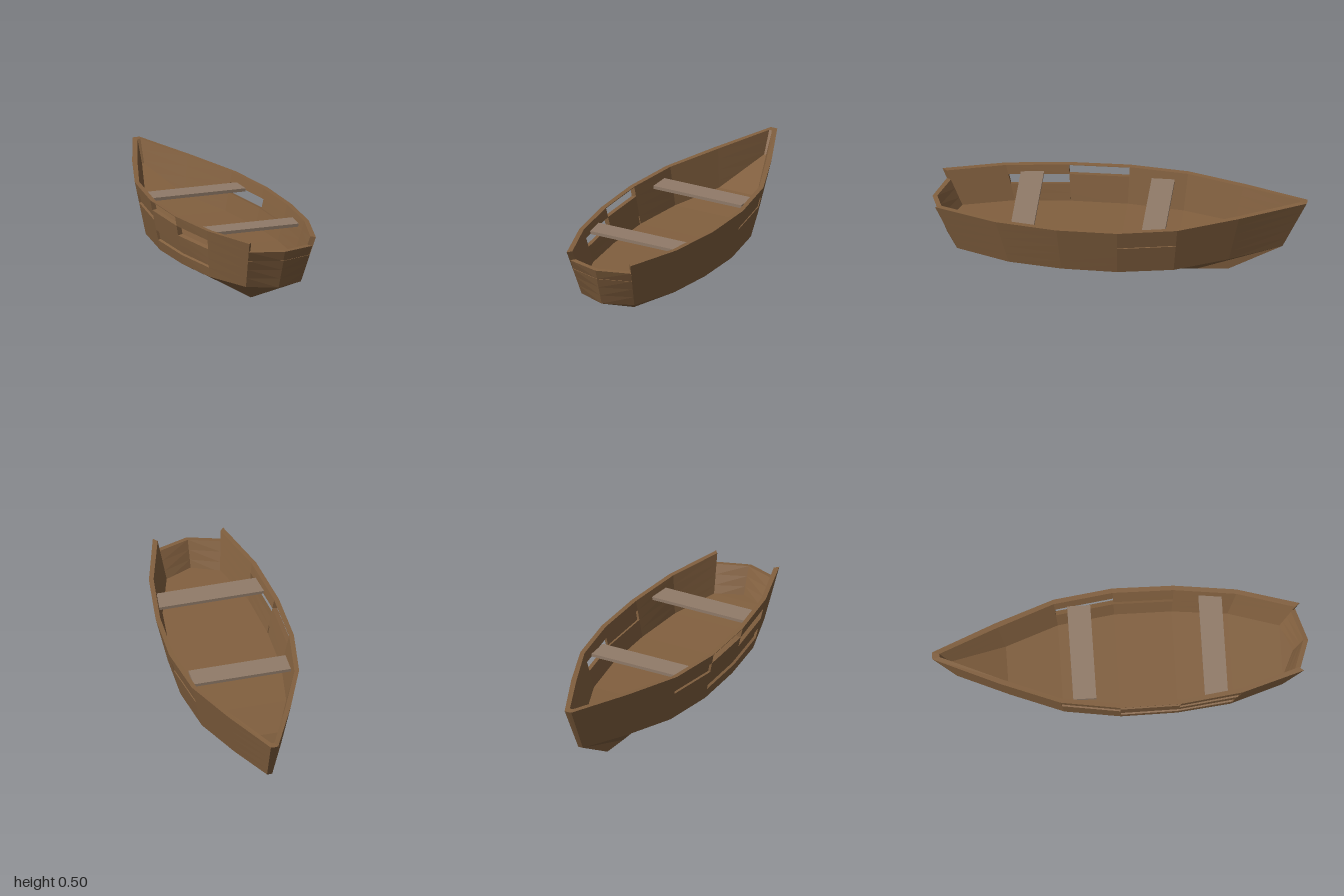
import * as THREE from 'three';

// Hull stations from stern centre to stem. Each line: [s along the keel, half width, y]
const RIM = [[-1.03, 0, 0.465], [-0.97, 0.203, 0.464], [-0.62, 0.31, 0.456], [-0.27, 0.356, 0.452],
  [0.073, 0.36, 0.454], [0.407, 0.31, 0.463], [0.742, 0.182, 0.482], [1.108, 0.021, 0.505], [1.11, 0, 0.505]];
const CHINE = [[-0.924, 0, 0.177], [-0.85, 0.168, 0.177], [-0.55, 0.263, 0.166], [-0.25, 0.295, 0.16],
  [0.065, 0.297, 0.158], [0.38, 0.25, 0.163], [0.68, 0.135, 0.18], [0.97, 0.015, 0.21], [0.971, 0, 0.21]];
const KEEL = [[-0.535, 0.014], [-0.535, 0.014], [-0.4, 0.008], [-0.18, 0.003], [0.05, 0.002],
  [0.28, 0.006], [0.48, 0.016], [0.664, 0.03], [0.664, 0.03]];
// Wall thickness at each station: [along the keel, towards the centreline]
const INSET = [[0.03, 0], [0.026, 0.022], [0, 0.027], [0, 0.027], [0, 0.027], [0, 0.027],
  [-0.01, 0.028], [-0.04, 0.012], [-0.042, 0]];
// Height of the floor at each station, as a fraction of the drop from rim to chine
const FLOOR = [0.76, 0.76, 0.76, 0.76, 0.76, 0.76, 0.74, 0.45, 0.45];
const STRAKES = 5;
const RIM_CAP = 0.012;

// Worn planks, keyed 'side,segment,strake': part of the thickness kept [from, to],
// a single depth for a bare outer skin, or null for a hole
const WORN = {
  '-1,0,0': null, '1,0,0': null, '-1,3,0': null, '-1,2,1': null,
  '1,4,1': [0.2], '-1,4,1': [0.5, 1], '-1,2,3': [0.5, 1], '-1,3,3': [0.5, 0.8],
  '1,3,1': [0, 0.5], '-1,0,1': [0.1, 1], '1,0,1': [0.1, 1],
};

// Point on the wall: station i, drop f from rim to chine, depth d through the wall
function wallPoint(side, i, f, d) {
  const [s0, w0, y0] = RIM[i], [s1, w1, y1] = CHINE[i], [ds, dw] = INSET[i];
  const s = THREE.MathUtils.lerp(s0, s1, f) + ds * d;
  const w = Math.max(0, THREE.MathUtils.lerp(w0, w1, f) - dw * d);
  return [side * w, THREE.MathUtils.lerp(y0, y1, f) + 0.015 * d * f, -s];
}

function keelPoint(i, d) {
  return [0, KEEL[i][1] + 0.03 * d, -KEEL[i][0]];
}

function addQuad(out, a, b, c, d, side) {
  const tris = side > 0 ? [a, b, c, a, c, d] : [a, c, b, a, d, c];
  for (const p of tris) out.push(...p);
}

// Six-sided block: four outer corners, then the four inner ones behind them
function addBlock(out, o, n, side) {
  const p = [...o, ...n];
  const quads = [[0, 1, 2, 3], [7, 6, 5, 4], [0, 4, 5, 1], [1, 5, 6, 2], [2, 6, 7, 3], [3, 7, 4, 0]];
  for (const q of quads) addQuad(out, ...q.map((k) => p[k]), side);
}

function blockMesh(name, positions, material) {
  const g = new THREE.BufferGeometry();
  g.setAttribute('position', new THREE.Float32BufferAttribute(positions, 3));
  g.computeVertexNormals();
  const mesh = new THREE.Mesh(g, material);
  mesh.name = name;
  return mesh;
}

export function createModel() {
  const model = new THREE.Group();
  model.name = 'rowingBoat';
  const wood = new THREE.MeshStandardMaterial({ color: 0x82603f, flatShading: true });
  const seatWood = new THREE.MeshStandardMaterial({ color: 0x917b69, flatShading: true });

  for (const side of [-1, 1]) {
    const planks = [], rim = [], bottom = [], floor = [];
    for (let i = 0; i < RIM.length - 1; i++) {
      const strip = (a, b, d) => [wallPoint(side, i, b, d), wallPoint(side, i + 1, b, d),
        wallPoint(side, i + 1, a, d), wallPoint(side, i, a, d)];

      // Side planks, with the worn ones thinned or left out
      for (let k = 0; k < STRAKES; k++) {
        const key = [side, i, k].join();
        const keep = key in WORN ? WORN[key] : [0, 1];
        if (!keep) continue;
        const a = Math.max(RIM_CAP, k / STRAKES), b = (k + 1) / STRAKES;
        if (keep.length === 1) addQuad(planks, ...strip(a, b, keep[0]), side);
        else addBlock(planks, strip(a, b, keep[0]), strip(a, b, keep[1]), side);
      }

      // Thin rim along the top, open at the stern
      if (i > 0) addBlock(rim, strip(0, RIM_CAP, 0), strip(0, RIM_CAP, 1), side);

      // Bottom panel from keel to chine
      const panel = (d) => [keelPoint(i, d), keelPoint(i + 1, d),
        wallPoint(side, i + 1, 1, d), wallPoint(side, i, 1, d)];
      addBlock(bottom, panel(0), panel(1), side);

      // Raised floor between the walls, sloping up into the bow
      const edge0 = wallPoint(side, i, FLOOR[i], 1), edge1 = wallPoint(side, i + 1, FLOOR[i + 1], 1);
      addQuad(floor, [0, edge0[1], edge0[2]], edge0, edge1, [0, edge1[1], edge1[2]], side);
    }
    const label = side > 0 ? 'Left' : 'Right';
    model.add(blockMesh('sidePlanks' + label, planks, wood), blockMesh('rim' + label, rim, wood),
      blockMesh('bottomPanels' + label, bottom, wood), blockMesh('floor' + label, floor, wood));
  }

  // Two bench seats across the hull
  for (const [name, s, length, y] of [['rearSeat', -0.472, 0.62, 0.408], ['frontSeat', 0.267, 0.56, 0.414]]) {
    const seat = new THREE.Mesh(new THREE.BoxGeometry(length, 0.018, 0.13), seatWood);
    seat.name = name;
    seat.position.set(0, y, -s);
    model.add(seat);
  }

  // The boat lies turned and very slightly heeled
  model.rotation.set(0, THREE.MathUtils.degToRad(-23.7), -0.016);
  model.position.set(0.05, 0, 0.022);
  const root = new THREE.Group();
  root.name = 'boat';
  root.add(model);
  return root;
}
